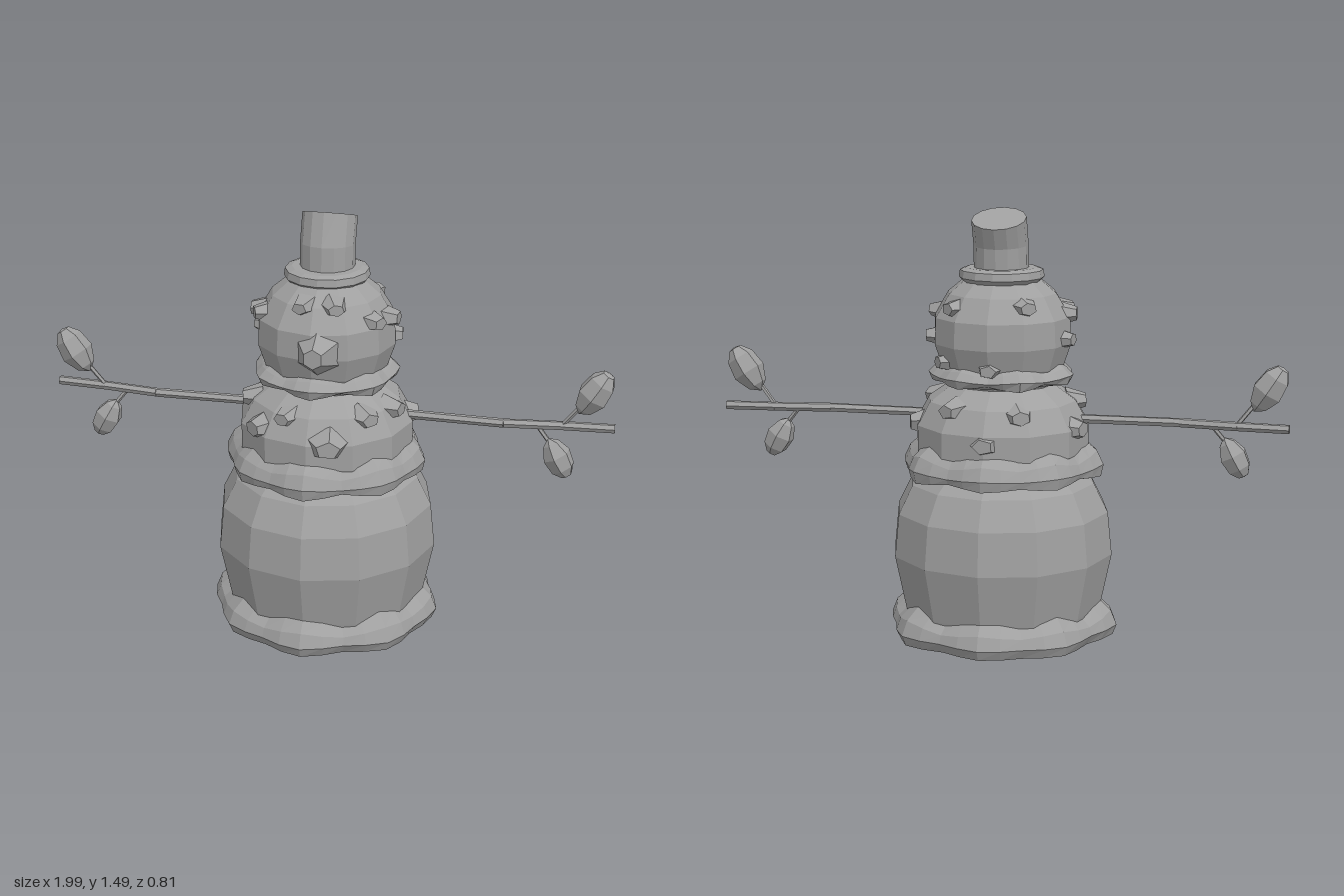
import * as THREE from 'three';

const V = (x, y, z) => new THREE.Vector3(x, y, z);

export function createModel() {
  const grey = new THREE.MeshStandardMaterial({ color: 0xa0a0a0, flatShading: true });
  grey.name = 'plain grey';
  const group = new THREE.Group();

  const add = (name, geometry, parent = group) => {
    const mesh = new THREE.Mesh(geometry, grey);
    mesh.name = name;
    parent.add(mesh);
    return mesh;
  };

  // Closed stack of rings; each ring is [y, radius, radius wave, height wave]
  function ringStack(rings, sides, lobes) {
    const pos = [], index = [];
    rings.forEach(([y, r, rWave = 0, yWave = 0]) => {
      for (let i = 0; i < sides; i++) {
        const a = (i / sides) * Math.PI * 2;
        const wave = Math.cos(a * lobes) * 0.75 + Math.cos(a * 5 + 1) * 0.25;
        const rr = r + rWave * wave;
        pos.push(Math.sin(a) * rr, y + yWave * wave, Math.cos(a) * rr);
      }
    });
    for (let j = 0; j < rings.length - 1; j++) {
      for (let i = 0; i < sides; i++) {
        const n = (i + 1) % sides;
        const a = j * sides + i, b = j * sides + n;
        index.push(a, b, b + sides, a, b + sides, a + sides);
      }
    }
    const last = rings.length - 1, bottom = pos.length / 3;
    pos.push(0, rings[0][0], 0, 0, rings[last][0], 0);
    for (let i = 0; i < sides; i++) {
      const n = (i + 1) % sides;
      index.push(bottom, n, i, bottom + 1, last * sides + i, last * sides + n);
    }
    const g = new THREE.BufferGeometry();
    g.setAttribute('position', new THREE.Float32BufferAttribute(pos, 3));
    g.setIndex(index);
    g.computeVertexNormals();
    return g;
  }

  // Three snowballs
  add('lowerBall', ringStack([[0.02, 0.33], [0.1, 0.35], [0.29, 0.39], [0.44, 0.375],
    [0.54, 0.325], [0.6, 0.26]], 12, 0));
  add('middleBall', ringStack([[0.58, 0.28], [0.66, 0.305], [0.75, 0.305], [0.83, 0.26],
    [0.88, 0.19], [0.91, 0.15]], 12, 0));
  add('head', ringStack([[0.88, 0.18], [0.95, 0.215], [1.03, 0.242], [1.12, 0.238],
    [1.2, 0.19], [1.25, 0.13]], 12, 0));

  // Wavy drifts of snow at the foot of each ball
  add('baseDrift', ringStack([[0, 0.375, 0.022], [0.035, 0.393, 0.018],
    [0.075, 0.378, 0.012, 0.012], [0.11, 0.34, 0.005, 0.02]], 32, 8));
  add('middleDrift', ringStack([[0.575, 0.3, 0.01], [0.575, 0.335, 0.015, -0.008],
    [0.605, 0.343, 0.016, 0.005], [0.645, 0.325, 0.01, 0.014], [0.685, 0.285, 0, 0.012]], 32, 8));
  add('neckDrift', ringStack([[0.892, 0.19, 0.008], [0.9, 0.235, 0.014, -0.008],
    [0.922, 0.248, 0.013, 0.005], [0.945, 0.225, 0.008, 0.01], [0.965, 0.195, 0, 0.008]], 28, 7));

  // Faceted clumps: [angle from the front in degrees, y, radius of the tip, size]
  const clumps = [
    [-12, 1.2, 0.215, 0.042], [22, 1.2, 0.215, 0.042], [85, 1.13, 0.258, 0.048],
    [-85, 1.13, 0.258, 0.048], [100, 1.05, 0.262, 0.045], [-100, 1.05, 0.262, 0.045],
    [60, 1.14, 0.25, 0.045], [-65, 1.14, 0.25, 0.045], [140, 1.16, 0.235, 0.045],
    [-145, 1.17, 0.23, 0.045], [180, 0.96, 0.235, 0.045], [125, 0.97, 0.24, 0.045],
    [14, 0.75, 0.335, 0.065], [-40, 0.77, 0.315, 0.055], [75, 0.82, 0.29, 0.05],
    [-75, 0.82, 0.29, 0.05], [108, 0.75, 0.32, 0.055], [-108, 0.75, 0.32, 0.055],
    [45, 0.82, 0.285, 0.05], [-20, 0.82, 0.28, 0.045], [150, 0.82, 0.285, 0.05],
    [-155, 0.81, 0.285, 0.05], [180, 0.72, 0.315, 0.055],
  ];
  clumps.forEach(([deg, y, r, size], i) => {
    const a = THREE.MathUtils.degToRad(deg);
    const g = new THREE.CylinderGeometry(size * 0.6, size * 1.15, 0.07, 5 + (i % 2));
    g.rotateY(i * 1.3).rotateX(Math.PI / 2).scale(1.1, 0.8, 1);
    const clump = add('snowClump', g);
    clump.position.set(Math.sin(a) * (r - 0.035), y, Math.cos(a) * (r - 0.035));
    clump.rotation.y = a;
  });

  // Blunt nose
  const nose = add('nose', new THREE.CylinderGeometry(0.035, 0.11, 0.12, 6).rotateX(Math.PI / 2));
  nose.position.set(0.02, 1.055, 0.228);

  // Hat brim and crown; the crown leans back towards its top
  const brim = add('hatBrim', new THREE.LatheGeometry([[0, 1.238], [0.13, 1.238], [0.147, 1.255],
    [0.143, 1.28], [0.12, 1.288], [0, 1.288]].map(p => new THREE.Vector2(...p)), 14));
  brim.position.z = -0.01;
  const crown = new THREE.CylinderGeometry(0.094, 0.094, 0.2, 14, 2);
  const levels = [[1.27, -0.015, 0], [1.365, -0.02, 0.08], [1.457, -0.053, 0.32]];
  const p = crown.attributes.position;
  for (let i = 0; i < p.count; i++) {
    const [y, z, lean] = levels[Math.round((p.getY(i) + 0.1) / 0.1)];
    const d = p.getZ(i);
    p.setXYZ(i, p.getX(i), y + d * Math.sin(lean), z + d * Math.cos(lean));
  }
  crown.computeVertexNormals();
  add('hatCrown', crown);

  // Stick between two points
  function stick(name, from, to, r, sides, parent) {
    const dir = to.clone().sub(from);
    const mesh = add(name, new THREE.CylinderGeometry(r, r, dir.length(), sides), parent);
    mesh.position.copy(from).add(to).multiplyScalar(0.5);
    mesh.quaternion.setFromUnitVectors(V(0, 1, 0), dir.normalize());
  }

  // Faceted bud whose long axis runs between two points
  function bud(from, to, width, parent) {
    const dir = to.clone().sub(from), h = dir.length();
    const profile = [[0, 0], [0.6, 0.15], [1, 0.45], [0.85, 0.78], [0.4, 0.97], [0, 1]]
      .map(([r, t]) => new THREE.Vector2(r * width, (t - 0.5) * h));
    const mesh = add('bud', new THREE.LatheGeometry(profile, 6), parent);
    mesh.position.copy(from).add(to).multiplyScalar(0.5);
    mesh.quaternion.setFromUnitVectors(V(0, 1, 0), dir.normalize());
  }

  // Twig arms with two buds each
  for (const s of [1, -1]) {
    const arm = new THREE.Group();
    arm.name = s > 0 ? 'leftArm' : 'rightArm';
    const path = [V(s * 0.22, 0.77, -0.012), V(s * 0.62, 0.77, -0.006),
      V(s * 0.82, 0.77, -0.03), V(s * 0.995, 0.77, -0.042)];
    for (let i = 0; i < 3; i++) stick('twig', path[i], path[i + 1], 0.016, 6, arm);
    stick('upperStem', V(s * 0.815, 0.77, -0.028), V(s * 0.87, 0.84, -0.02), 0.008, 5, arm);
    bud(V(s * 0.872, 0.822, -0.02), V(s * 0.97, 0.975, -0.02), 0.058, arm);
    stick('lowerStem', V(s * 0.735, 0.765, -0.02), V(s * 0.78, 0.71, -0.012), 0.008, 5, arm);
    bud(V(s * 0.772, 0.727, -0.012), V(s * 0.845, 0.592, -0.01), 0.05, arm);
    group.add(arm);
  }

  return group;
}
